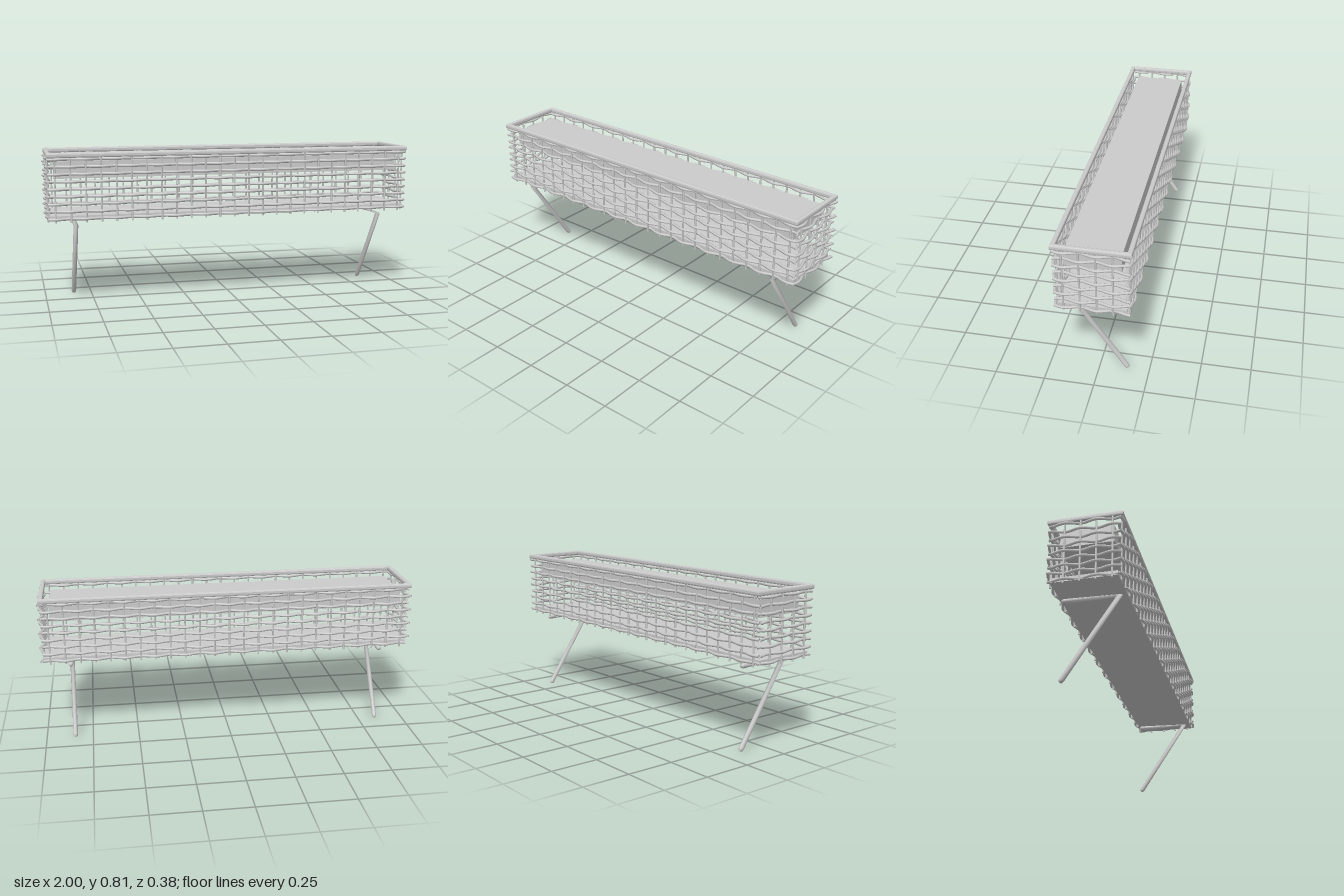
import * as THREE from 'three';

export function createModel() {
  const model = new THREE.Group();
  const mat = new THREE.MeshStandardMaterial({ color: 0xcccccc, side: THREE.DoubleSide });
  const flat = new THREE.MeshStandardMaterial({ color: 0xcccccc, flatShading: true });

  const add = (parent, name, geometry, material = mat) => {
    const mesh = new THREE.Mesh(geometry, material);
    mesh.name = name;
    parent.add(mesh);
    return mesh;
  };

  // One woven wall: upright stakes with wavy strands passing in front and behind
  const STEP = 0.079, ROWS = 9;
  function wovenPanel(name, halfLength, firstStake, stakeCount) {
    const panel = new THREE.Group();
    panel.name = name;
    for (let i = 0; i < stakeCount; i++) {
      const stake = add(panel, 'stake', new THREE.CylinderGeometry(0.005, 0.005, 0.347, 6));
      stake.position.set(firstStake + i * STEP, 0.6235, 0);
    }
    for (let r = 0; r < ROWS; r++) {
      const sign = r % 2 ? -1 : 1;
      const n = Math.round(halfLength * 2 / STEP * 4);
      const points = [];
      for (let i = 0; i <= n; i++) {
        const x = -halfLength + (2 * halfLength * i) / n;
        const wave = Math.cos(Math.PI * (x - firstStake) / STEP);
        points.push(new THREE.Vector3(x, 0.469 + r * 0.0386, sign * 0.0095 * wave));
      }
      const curve = new THREE.CatmullRomCurve3(points);
      add(panel, 'wovenStrand', new THREE.TubeGeometry(curve, n, 0.0075, 6));
    }
    model.add(panel);
    return panel;
  }

  wovenPanel('frontWall', 0.985, -0.948, 25).position.z = 0.173;
  wovenPanel('backWall', 0.985, -0.948, 25).position.z = -0.173;
  for (const side of [1, -1]) {
    const end = wovenPanel(side > 0 ? 'leftWall' : 'rightWall', 0.18, -0.137, 4);
    end.rotation.y = Math.PI / 2;
    end.position.x = side * 0.983;
  }

  // Rounded rim frame around the top
  const rectangle = (path, x, z) => {
    path.moveTo(-x, -z);
    path.lineTo(x, -z);
    path.lineTo(x, z);
    path.lineTo(-x, z);
    path.closePath();
    return path;
  };
  const rimShape = rectangle(new THREE.Shape(), 0.99, 0.189);
  rimShape.holes.push(rectangle(new THREE.Path(), 0.966, 0.165));
  const rim = new THREE.ExtrudeGeometry(rimShape, {
    depth: 0.01, bevelThickness: 0.008, bevelSize: 0.007, bevelOffset: -0.007, bevelSegments: 2,
  });
  rim.rotateX(-Math.PI / 2);
  rim.translate(0, 0.794, 0);
  add(model, 'rim', rim, flat);

  // Soil block and bottom board
  add(model, 'soil', new THREE.BoxGeometry(1.88, 0.09, 0.27), flat).position.y = 0.72;
  add(model, 'bottomBoard', new THREE.BoxGeometry(1.96, 0.024, 0.33), flat).position.y = 0.473;

  // Bent leg: rings [y, z, radius, tilt]; the middle ring lies flat at the sharp bend
  function bentLeg() {
    const SIDES = 10;
    const slant = Math.atan2(0.278, 0.415);
    const rings = [
      [0.007, -0.143, 0.003, slant], [0.010, -0.141, 0.010, slant], [0.020, -0.134, 0.0135, slant],
      [0.431, 0.14, 0.0145, 0],
      [0.432, -0.136, 0.0135, -Math.PI / 2], [0.432, -0.145, 0.010, -Math.PI / 2],
      [0.432, -0.148, 0.003, -Math.PI / 2],
    ];
    const position = [], index = [];
    rings.forEach(([y, z, radius, tilt], k) => {
      for (let i = 0; i < SIDES; i++) {
        const a = (i / SIDES) * Math.PI * 2;
        const across = Math.sin(a) * radius;
        position.push(Math.cos(a) * Math.min(radius, 0.0125),
          y - across * Math.sin(tilt), z + across * Math.cos(tilt));
        if (k === rings.length - 1) continue;
        const p = k * SIDES + i, q = k * SIDES + (i + 1) % SIDES;
        index.push(p, p + SIDES, q, q, p + SIDES, q + SIDES);
      }
    });
    // End caps
    const last = (rings.length - 1) * SIDES;
    for (let i = 1; i < SIDES - 1; i++) {
      index.push(0, i, i + 1, last, last + i + 1, last + i);
    }
    const geometry = new THREE.BufferGeometry();
    geometry.setAttribute('position', new THREE.Float32BufferAttribute(position, 3));
    geometry.setIndex(index);
    geometry.computeVertexNormals();
    return geometry;
  }
  for (const side of [1, -1]) {
    add(model, side > 0 ? 'leftLeg' : 'rightLeg', bentLeg()).position.x = side * 0.845;
  }

  return model;
}
